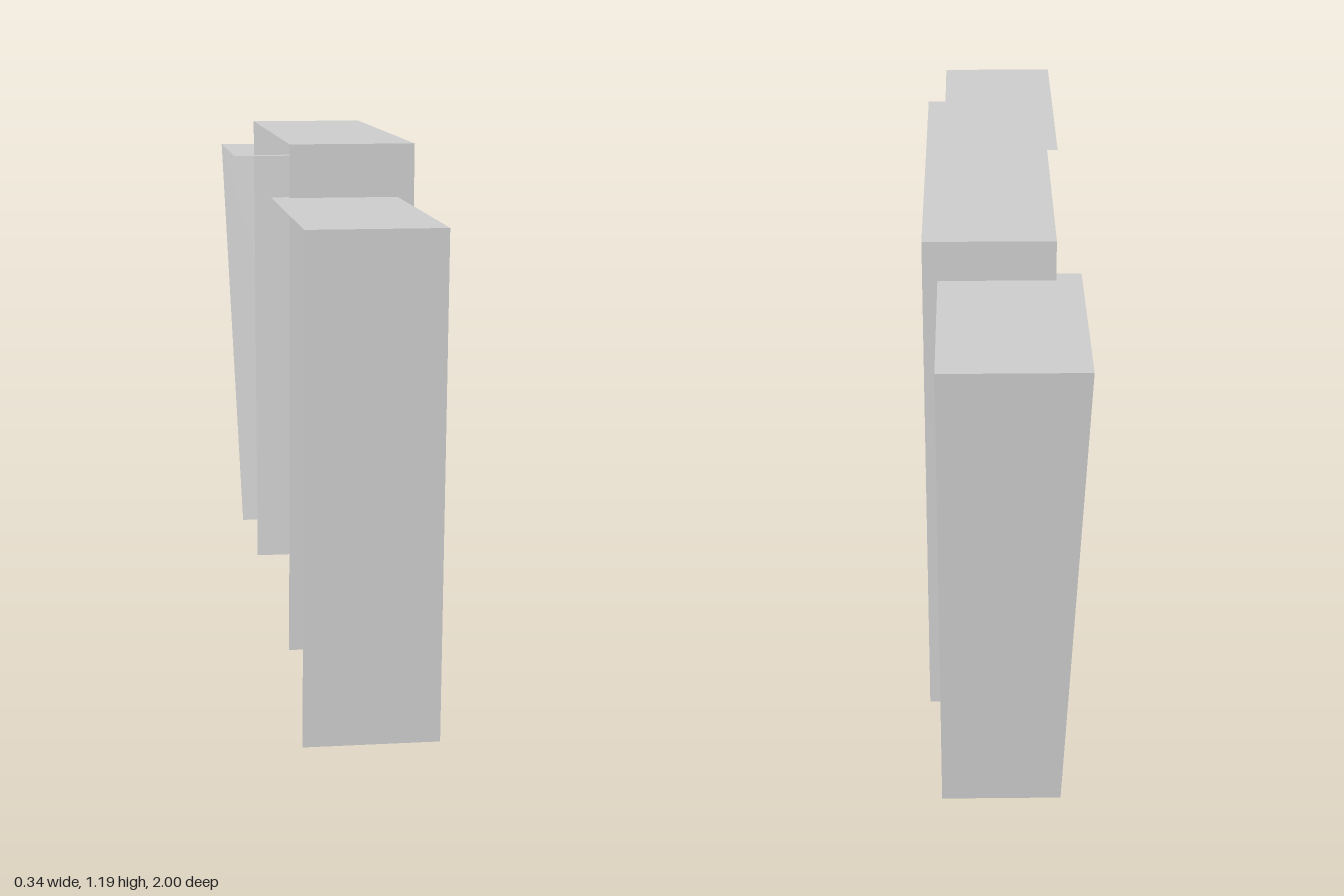
import * as THREE from 'three';
import { mergeGeometries } from 'three/addons/utils/BufferGeometryUtils.js';

const RECESS = 0.035;
const material = new THREE.MeshStandardMaterial({ color: 0xcccccc, flatShading: true, side: THREE.DoubleSide });

// Flat four-cornered panel, corners counter-clockwise from outside
function quad(a, b, c, d) {
  const g = new THREE.BufferGeometry();
  g.setAttribute('position', new THREE.Float32BufferAttribute([a, b, c, a, c, d].flat(), 3));
  g.computeVertexNormals();
  return g;
}

function addMesh(group, name, geometry) {
  const mesh = new THREE.Mesh(geometry, material);
  mesh.name = name;
  group.add(mesh);
}

// Each block leans outwards: z edges are given at the top and at the bottom.
// Columns are [z left, z right] on the highest and on the lowest window edge.
const blocks = [
  {
    name: 'frontBlock', back: -0.155, backBottom: -0.155, face: 0.13, top: 1.07, bottom: 0.005,
    zTop: [1, 0.333], zBottom: [0.955, 0.295], walls: ['front'],
    rows: [[1.03, 0.85], [0.76, 0.585], [0.495, 0.315]],
    colsTop: [[0.957, 0.812], [0.73, 0.585], [0.505, 0.37]],
    colsBottom: [[0.93, 0.80], [0.72, 0.58], [0.50, 0.35]],
  },
  {
    name: 'middleBlock', back: -0.115, backBottom: -0.115, face: 0.167, top: 1.19, bottom: 0,
    zTop: [0.36, -0.56], zBottom: [0.315, -0.515], walls: ['front', 'rear'],
    rows: [[1.14, 0.945], [0.845, 0.65], [0.545, 0.35]],
    colsTop: [[0.315, 0.165], [0.09, -0.06], [-0.14, -0.29], [-0.365, -0.515]],
    colsBottom: [[0.29, 0.16], [0.08, -0.06], [-0.14, -0.28], [-0.36, -0.49]],
  },
  {
    name: 'rearBlock', back: -0.17, backBottom: -0.125, face: 0.135, top: 1.10, bottom: 0.005,
    zTop: [-0.52, -1], zBottom: [-0.48, -0.885], walls: ['rear'],
    rows: [[1.06, 0.88], [0.785, 0.60], [0.51, 0.325]],
    colsTop: [[-0.56, -0.705], [-0.80, -0.95]],
    colsBottom: [[-0.545, -0.675], [-0.75, -0.88]],
  },
];

// Window outlines as [z, y] corners, following the lean of the facade
function windowOutlines({ rows, colsTop, colsBottom }) {
  const high = rows[0][0], low = rows[rows.length - 1][1];
  const outlines = [];
  for (const [yt, yb] of rows) {
    colsTop.forEach((col, i) => {
      const z = (side, y) => THREE.MathUtils.lerp(colsBottom[i][side], col[side], (y - low) / (high - low));
      outlines.push([[z(0, yb), yb], [z(1, yb), yb], [z(1, yt), yt], [z(0, yt), yt]]);
    });
  }
  return outlines;
}

function createBlock(b) {
  const group = new THREE.Group();
  group.name = b.name;
  const [zt0, zt1] = b.zTop, [zb0, zb1] = b.zBottom;
  const outlines = windowOutlines(b);
  const toShape = ([z, y]) => new THREE.Vector2(-z, y);

  // Facade sheet with window openings
  const shape = new THREE.Shape([[zb0, b.bottom], [zb1, b.bottom], [zt1, b.top], [zt0, b.top]].map(toShape));
  shape.holes = outlines.map((o) => new THREE.Path([...o].reverse().map(toShape)));
  addMesh(group, 'facade', new THREE.ShapeGeometry(shape).rotateY(Math.PI / 2).translate(b.face, 0, 0));

  // Recessed panes and the reveals around them
  const panes = [], reveals = [];
  for (const o of outlines) {
    const outer = o.map(([z, y]) => [b.face, y, z]);
    const inner = o.map(([z, y]) => [b.face - RECESS, y, z]);
    panes.push(quad(...inner));
    for (let i = 0; i < 4; i++) {
      const j = (i + 1) % 4;
      reveals.push(quad(outer[i], outer[j], inner[j], inner[i]));
    }
  }
  addMesh(group, 'windowPanes', mergeGeometries(panes));
  addMesh(group, 'windowReveals', mergeGeometries(reveals));

  // Flat roof
  addMesh(group, 'roof', quad([b.back, b.top, zt0], [b.face, b.top, zt0], [b.face, b.top, zt1], [b.back, b.top, zt1]));

  // Exposed end walls; the back and the underside stay open
  for (const side of b.walls) {
    const k = side === 'front' ? 0 : 1;
    const zt = b.zTop[k], zb = b.zBottom[k];
    const corners = [[b.backBottom, b.bottom, zb], [b.face, b.bottom, zb], [b.face, b.top, zt], [b.back, b.top, zt]];
    if (k) corners.reverse();
    addMesh(group, side + 'EndWall', quad(...corners));
  }
  return group;
}

export function createModel() {
  const model = new THREE.Group();
  model.name = 'buildingFacade';
  for (const b of blocks) model.add(createBlock(b));
  return model;
}
